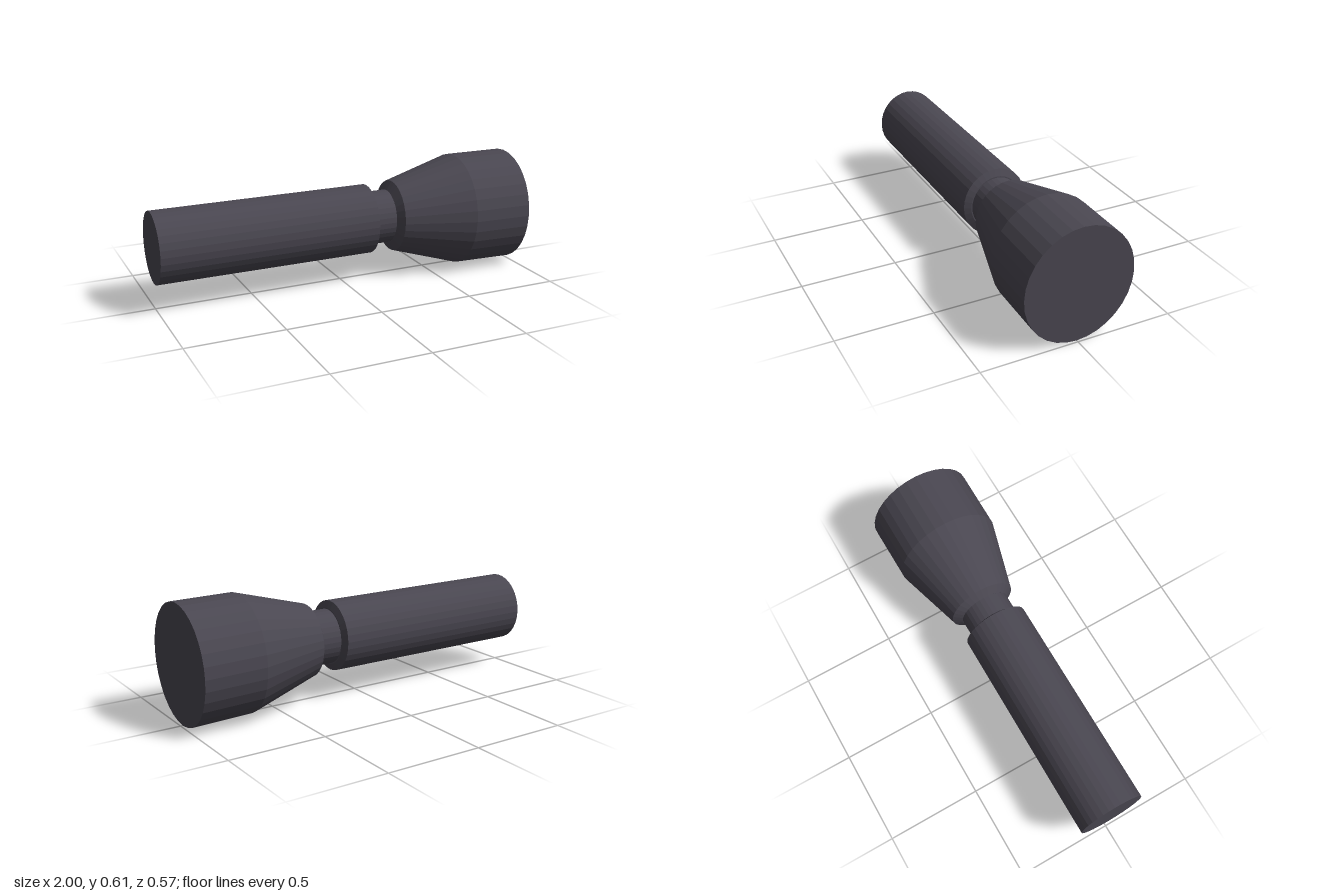
import * as THREE from 'three';

const material = new THREE.MeshStandardMaterial({ color: 0x4a4751, flatShading: true });

// Turned part along +x; profile points are [distance along x, radius]
function turned(name, profile) {
  const points = profile.map(([x, r]) => new THREE.Vector2(r, x));
  const geometry = new THREE.LatheGeometry(points, 32);
  geometry.scale(1, 1, 0.937); // slightly oval section, taller than deep
  geometry.rotateZ(-Math.PI / 2);
  const mesh = new THREE.Mesh(geometry, material);
  mesh.name = name;
  return mesh;
}

export function createModel() {
  const model = new THREE.Group();
  model.name = 'flashlight';

  // Long grip with a bevelled shoulder
  const handle = turned('handle', [[-1, 0], [-1, 0.184], [0.152, 0.184], [0.168, 0.148], [0.168, 0]]);
  handle.position.y = 0.32;

  // Narrow collar between handle and head
  const neck = turned('neck', [[0.15, 0], [0.15, 0.142], [0.285, 0.142], [0.285, 0]]);
  neck.position.y = 0.32;

  // Flared head with a flat front, drooping very slightly
  const head = turned('head', [
    [-0.01, 0], [-0.01, 0.143], [0.018, 0.19], [0.392, 0.301], [0.714, 0.304], [0.714, 0],
  ]);
  head.position.set(0.28, 0.319, 0);
  head.rotation.z = -0.018;

  model.add(handle, neck, head);
  return model;
}
